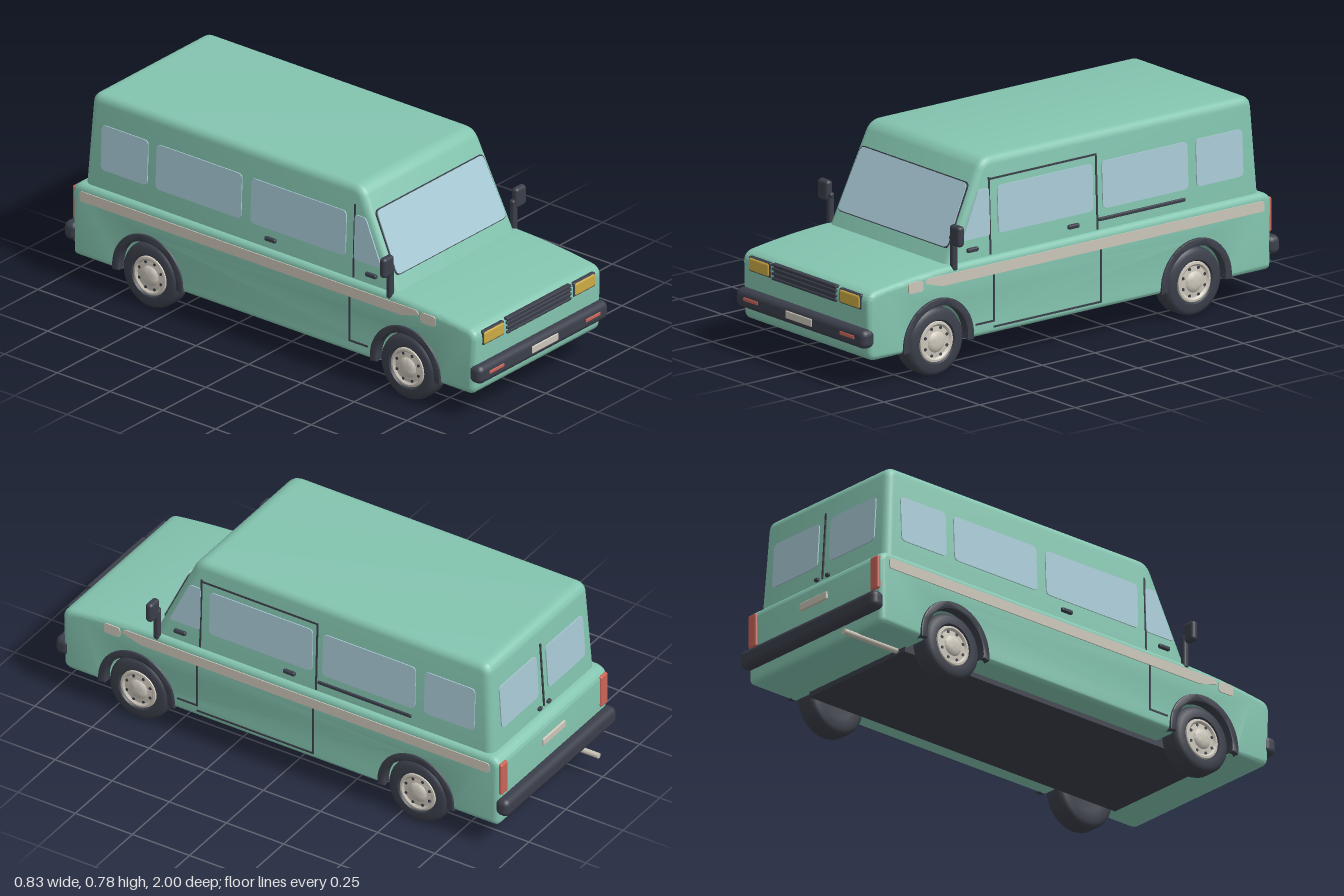
import * as THREE from 'three';
import { toCreasedNormals } from 'three/addons/utils/BufferGeometryUtils.js';
import { RoundedBoxGeometry } from 'three/addons/geometries/RoundedBoxGeometry.js';

const mat = (name, color) => Object.assign(new THREE.MeshStandardMaterial({ color }), { name });

export function createModel() {
  const van = new THREE.Group();
  van.name = 'van';
  const paint = mat('green paint', 0x84c5b0);
  const dark = mat('dark rubber', 0x3b3f4a);
  const glass = mat('glass', 0xa9cad6);
  const cream = mat('cream trim', 0xcbc5b9);
  const amber = mat('amber lamp', 0xcdab45);
  const red = mat('red lamp', 0xcb6558);
  const SIDES = [['left', 1], ['right', -1]];
  const AXLES = [['front', 0.638], ['rear', -0.584]];
  const LOWER = 0.37; // half width of the lower body
  const taper = y => 1 - 0.11 * (y - 0.4);
  const sideX = y => (y > 0.4 ? 0.35 * taper(y) : LOWER);

  function add(name, geo, material, x = 0, y = 0, z = 0, parent = van) {
    const m = new THREE.Mesh(geo, material);
    m.name = name;
    m.position.set(x, y, z);
    parent.add(m);
    return m;
  }
  const rbox = (w, h, d, r) => new RoundedBoxGeometry(w, h, d, 3, r);

  // Polygon with rounded corners
  function roundPoly(pts, r) {
    const v = pts.map(p => new THREE.Vector2(...p)), n = v.length, s = new THREE.Shape();
    v.forEach((p, i) => {
      const toward = q => p.clone().add(q.clone().sub(p).setLength(r));
      const a = toward(v[(i + n - 1) % n]), b = toward(v[(i + 1) % n]);
      if (i) s.lineTo(a.x, a.y); else s.moveTo(a.x, a.y);
      s.quadraticCurveTo(p.x, p.y, b.x, b.y);
    });
    s.closePath();
    return s;
  }
  const rect = (a, b, c, d) => [[a, c], [b, c], [b, d], [a, d]];

  // Side profile (z, y) swept across the width with soft edges
  function hull(shape, half, bevel) {
    const g = new THREE.ExtrudeGeometry(shape, {
      depth: 2 * (half - bevel), curveSegments: 14, bevelEnabled: true,
      bevelThickness: bevel, bevelSize: bevel, bevelOffset: -bevel, bevelSegments: 4,
    });
    g.translate(0, 0, -(half - bevel));
    return g.rotateY(-Math.PI / 2);
  }

  // Thin plate (z, y) laid on the body side
  function sidePlate(name, shape, material, s, thick = 0.008) {
    const g = new THREE.ExtrudeGeometry(shape, { depth: thick, bevelEnabled: false, curveSegments: 5 });
    g.translate(0, 0, -thick / 2).rotateY(-Math.PI / 2);
    const p = g.attributes.position;
    for (let i = 0; i < p.count; i++) p.setX(i, p.getX(i) + s * sideX(p.getY(i)));
    g.computeVertexNormals();
    return add(name, g, material);
  }
  const seam = (name, s, z0, z1, y0, y1) =>
    sidePlate(name, roundPoly(rect(z0, z1, y0, y1), 0.001), dark, s, 0.006);

  // Lower body with bonnet and wheel arches
  const low = new THREE.Shape();
  low.moveTo(-0.92, 0.115);
  for (const [, z] of [...AXLES].reverse()) low.absarc(z, 0.135, 0.14, Math.PI + 0.143, -0.143, true);
  low.lineTo(0.925, 0.115);
  low.quadraticCurveTo(0.96, 0.115, 0.961, 0.15);
  low.lineTo(0.966, 0.335);
  low.quadraticCurveTo(0.966, 0.375, 0.925, 0.381);
  low.quadraticCurveTo(0.76, 0.405, 0.58, 0.411);
  low.lineTo(-0.9, 0.413);
  low.quadraticCurveTo(-0.945, 0.408, -0.946, 0.37);
  low.lineTo(-0.943, 0.14);
  low.quadraticCurveTo(-0.943, 0.115, -0.92, 0.115);
  add('lowerBody', toCreasedNormals(hull(low, LOWER, 0.022), 0.6), paint);

  // Cabin, narrowing toward the roof
  const cab = hull(roundPoly([[-0.911, 0.3], [0.627, 0.3], [0.4, 0.785], [-0.88, 0.785]], 0.045), 0.35, 0.03);
  const cp = cab.attributes.position;
  for (let i = 0; i < cp.count; i++) cp.setX(i, cp.getX(i) * taper(cp.getY(i)));
  add('cabin', toCreasedNormals(cab, 0.6), paint);

  // Underfloor
  add('floor', new THREE.BoxGeometry(0.53, 0.215, 1.5), dark, 0, 0.2025, 0.015);

  // Windscreen and rear windows
  const pane = pts => new THREE.ExtrudeGeometry(roundPoly(pts, 0.022), { depth: 0.008, bevelEnabled: false });
  const tilt = -Math.atan2(0.18, 0.385);
  add('windscreenSeal', pane([[-0.32, -0.128], [0.32, -0.128], [0.313, 0.129], [-0.313, 0.129]]),
    dark, 0, 0.576, 0.493).rotation.x = tilt;
  add('windscreen', pane([[-0.317, -0.125], [0.317, -0.125], [0.308, 0.124], [-0.308, 0.124]]),
    glass, 0, 0.578, 0.496).rotation.x = tilt;
  for (const [side, s] of SIDES) {
    add(side + 'RearWindow', pane(rect(-0.125, 0.125, -0.09, 0.09)), glass, s * 0.157, 0.58, -0.898).rotation.x = 0.065;
    add(side + 'RearHandle', rbox(0.02, 0.014, 0.014, 0.004), dark, s * 0.03, 0.435, -0.906);
  }
  add('rearDoorSeam', new THREE.BoxGeometry(0.007, 0.27, 0.008), dark, 0, 0.565, -0.895).rotation.x = 0.065;

  // Side windows, stripe, handles and door seams
  for (const [side, s] of SIDES) {
    sidePlate(side + 'FrontWindow', roundPoly([[0.375, 0.49], [0.508, 0.49], [0.425, 0.67], [0.375, 0.67]], 0.012), glass, s);
    [[-0.115, 0.335], [-0.565, -0.16], [-0.825, -0.605]].forEach(([a, b], i) =>
      sidePlate(side + 'Window' + (i + 1), roundPoly(rect(a, b, 0.49, 0.67), 0.02), glass, s));
    sidePlate(side + 'Stripe', roundPoly([[-0.905, 0.345], [0.62, 0.345], [0.705, 0.37], [0.69, 0.386], [-0.905, 0.386]], 0.01), cream, s);
    sidePlate(side + 'Indicator', roundPoly(rect(0.71, 0.78, 0.343, 0.384), 0.012), cream, s);
    for (const z of [0.46, -0.018])
      add(side + 'DoorHandle', rbox(0.016, 0.017, 0.052, 0.006), dark, s * (sideX(0.45) + 0.004), 0.45, z);
    seam(side + 'DoorSeamUpper', s, 0.37, 0.377, 0.415, 0.71);
    seam(side + 'DoorSeamLower', s, 0.37, 0.377, 0.163, 0.344);
    seam(side + 'DoorSeamBottom', s, 0.37, 0.46, 0.163, 0.17);
  }
  // Sliding door on the left
  seam('slidingDoorSeamUpper', 1, -0.137, -0.13, 0.415, 0.7);
  seam('slidingDoorSeamLower', 1, -0.137, -0.13, 0.14, 0.344);
  seam('slidingDoorSeamTop', 1, -0.137, 0.375, 0.698, 0.705);
  seam('slidingDoorSeamBottom', 1, -0.137, 0.375, 0.14, 0.147);
  add('slidingDoorRail', rbox(0.012, 0.014, 0.41, 0.004), dark, sideX(0.45), 0.452, -0.345);

  // Wheels and arch trims
  const lathe = pts => new THREE.LatheGeometry(pts.map(p => new THREE.Vector2(...p)), 36);
  const tyre = toCreasedNormals(lathe([[0, -0.035], [0.07, -0.045], [0.112, -0.045], [0.125, -0.038], [0.13, -0.025],
    [0.13, 0.025], [0.125, 0.038], [0.112, 0.045], [0.084, 0.045], [0.077, 0.034], [0, 0.03]]), 0.8);
  const hub = toCreasedNormals(lathe([[0.08, 0.032], [0.076, 0.043], [0.068, 0.044], [0.06, 0.037], [0.04, 0.039],
    [0.034, 0.046], [0.02, 0.05], [0, 0.051]]), 0.6);
  const hole = new THREE.CylinderGeometry(0.006, 0.006, 0.008, 10);
  const arch = new THREE.Shape();
  arch.absarc(0, 0, 0.167, -0.12, Math.PI + 0.12, false);
  arch.absarc(0, 0, 0.137, Math.PI + 0.12, -0.12, true);
  const archGeo = toCreasedNormals(new THREE.ExtrudeGeometry(arch, {
    depth: 0.03, curveSegments: 28, bevelThickness: 0.005, bevelSize: 0.004, bevelOffset: -0.004, bevelSegments: 2,
  }).translate(0, 0, -0.015).rotateY(-Math.PI / 2), 0.6);
  for (const [side, s] of SIDES) for (const [end, z] of AXLES) {
    const wheel = new THREE.Group();
    wheel.name = side + end + 'Wheel';
    wheel.position.set(s * 0.32, 0.132, z);
    wheel.rotation.z = -s * Math.PI / 2;
    add('tyre', tyre, dark, 0, 0, 0, wheel);
    add('hubcap', hub, cream, 0, 0, 0, wheel);
    for (let i = 0; i < 8; i++) {
      const a = (i + 0.5) * Math.PI / 4;
      add('hubHole', hole, dark, 0.055 * Math.cos(a), 0.036, 0.055 * Math.sin(a), wheel);
    }
    van.add(wheel);
    add(side + end + 'ArchTrim', archGeo, dark, s * 0.357, 0.135, z);
  }

  // Bumpers and number plates
  add('frontBumper', rbox(0.75, 0.073, 0.062, 0.024), dark, 0, 0.204, 0.966);
  add('rearBumper', rbox(0.75, 0.073, 0.058, 0.024), dark, 0, 0.204, -0.957);
  add('frontPlate', rbox(0.154, 0.031, 0.012, 0.005), cream, 0, 0.205, 0.994);
  add('rearPlate', rbox(0.15, 0.032, 0.012, 0.005), cream, 0, 0.325, -0.947);

  // Grille
  add('grilleBack', new THREE.BoxGeometry(0.355, 0.058, 0.008), dark, 0, 0.337, 0.966);
  [0.364, 0.349, 0.331, 0.312].forEach(y =>
    add('grilleSlat', rbox(0.375, 0.011, 0.022, 0.004), dark, -0.002, y, 0.963));

  for (const [side, s] of SIDES) {
    // Lamps
    add(side + 'HeadlampFrame', rbox(0.126, 0.058, 0.02, 0.006), dark, s * 0.264, 0.337, 0.96);
    add(side + 'Headlamp', rbox(0.119, 0.052, 0.026, 0.009), amber, s * 0.264, 0.337, 0.961);
    add(side + 'BumperLamp', rbox(0.088, 0.017, 0.012, 0.005), red, s * 0.28, 0.207, 0.993);
    add(side + 'TailLamp', rbox(0.045, 0.135, 0.02, 0.008), red, s * 0.338, 0.322, -0.943);
    // Wing mirrors
    add(side + 'MirrorStalk', rbox(0.026, 0.135, 0.026, 0.01), dark, s * 0.359, 0.457, 0.555);
    add(side + 'MirrorArm', rbox(0.04, 0.02, 0.02, 0.008), dark, s * 0.362, 0.515, 0.557);
    add(side + 'MirrorHead', rbox(0.06, 0.08, 0.03, 0.013), dark, s * 0.384, 0.53, 0.56);
  }

  // Exhaust pipe
  add('exhaust', new THREE.CylinderGeometry(0.011, 0.011, 0.26, 14), cream, -0.225, 0.11, -0.87).rotation.x = Math.PI / 2;
  return van;
}
